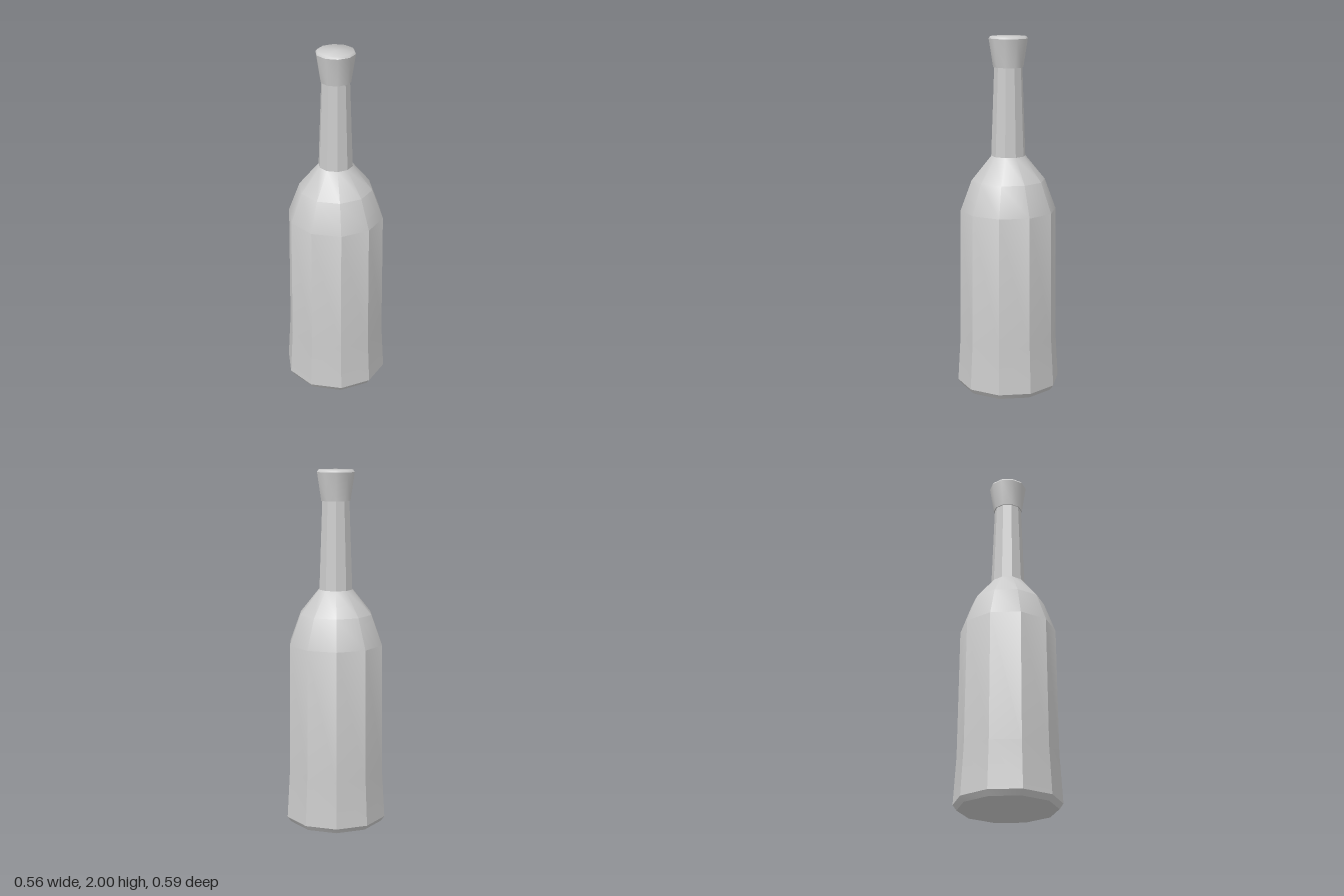
import * as THREE from 'three';
import { toCreasedNormals } from 'three/addons/utils/BufferGeometryUtils.js';

const SIDES = 10;
const material = new THREE.MeshStandardMaterial({ color: 0xcccccc });

// Ten-sided turned part from [radius, height] pairs, bottom to top
function turned(name, profile, creaseDegrees) {
  const points = profile.map(([r, y]) => new THREE.Vector2(r, y).multiplyScalar(100));
  // Creased at a large scale so that close vertices are not merged
  const geometry = toCreasedNormals(
    new THREE.LatheGeometry(points, SIDES),
    THREE.MathUtils.degToRad(creaseDegrees)
  );
  geometry.scale(0.01, 0.01, 0.01);
  const mesh = new THREE.Mesh(geometry, material);
  mesh.name = name;
  return mesh;
}

export function createModel() {
  const group = new THREE.Group();
  group.name = 'bottle';

  // Flat underside with a chamfered foot
  group.add(turned('base', [[0, 0], [0.272, 0], [0.293, 0.03]], 30));

  // Faceted body blending into a smooth shoulder
  group.add(turned('body', [
    [0.293, 0.03], [0.277, 0.3], [0.27, 1.035], [0.207, 1.205], [0.096, 1.342],
  ], 35.75));

  // Faceted tapering neck
  group.add(turned('neck', [[0.096, 1.342], [0.078, 1.835]], 30));

  // Smooth flared stopper with a small bevel at the top
  group.add(turned('stopper', [[0, 1.832], [0.084, 1.832], [0.108, 1.988]], 40));
  group.add(turned('stopperTop', [[0.108, 1.988], [0.1, 2], [0, 2]], 65));

  return group;
}
